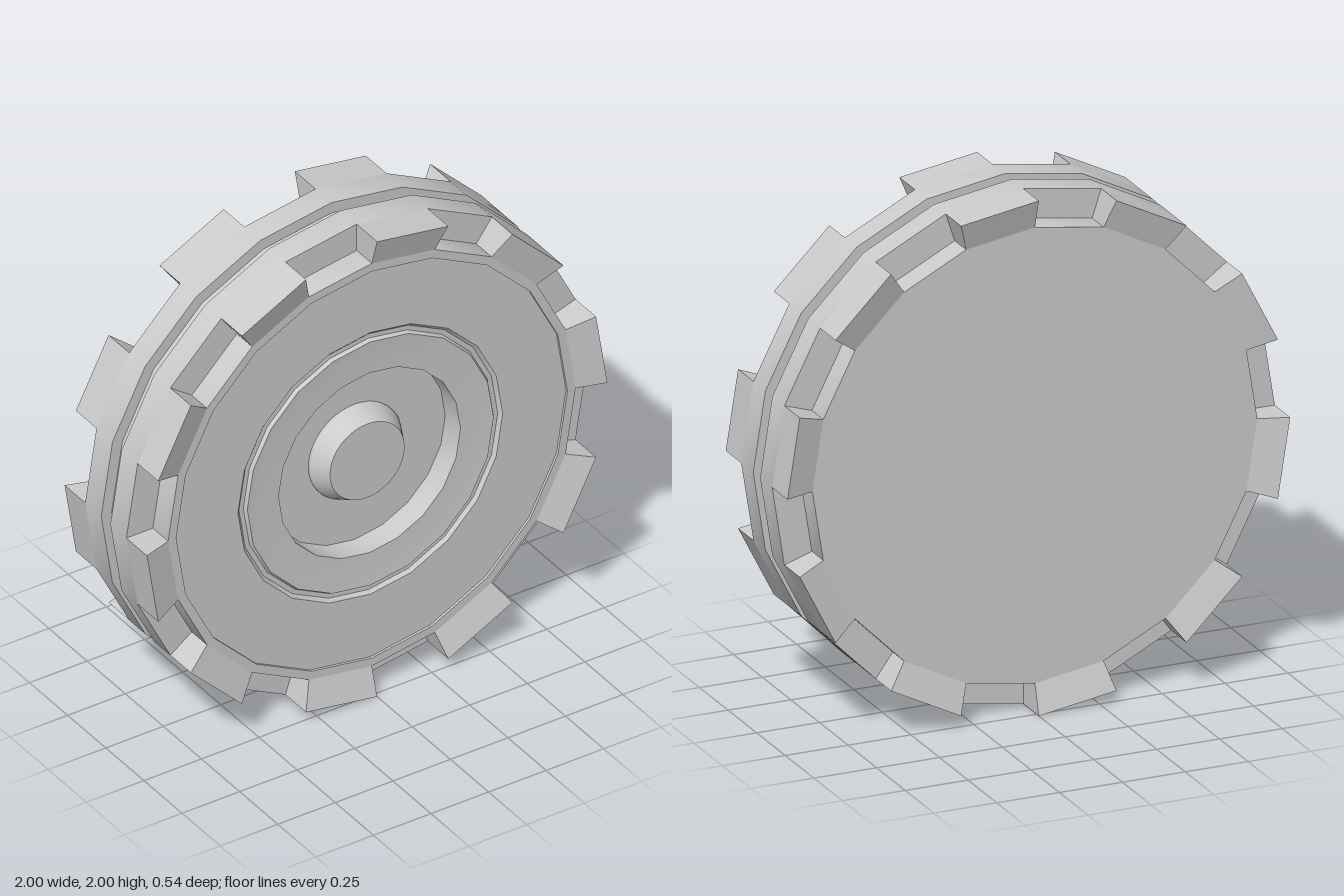
import * as THREE from 'three';
import { toCreasedNormals } from 'three/addons/utils/BufferGeometryUtils.js';

const SIDES = 20;
const STEP = (Math.PI * 2) / SIDES;
const CORE = 0.885;       // radius of the notch floors
const FACE = 0.235;       // depth of the flat side faces
const NOTCH = 0.135;      // where the notches begin

export function createModel() {
  const model = new THREE.Group();
  const grey = new THREE.MeshStandardMaterial({ color: 0xcccccc });

  // Turn a [radius, z] profile, listed from back to front, about the z axis
  function turned(name, profile, segments) {
    const points = profile.map(([r, z]) => new THREE.Vector2(r, z));
    const geometry = new THREE.LatheGeometry(points, segments).rotateX(Math.PI / 2);
    const mesh = new THREE.Mesh(toCreasedNormals(geometry, 0.35), grey);
    mesh.name = name;
    mesh.position.y = 1;
    model.add(mesh);
  }

  // Wheel body: back disc, grooved tread band, stepped face and hub dish
  turned('wheelBody', [
    [0, -FACE], [CORE, -FACE], [CORE, -NOTCH], [1, -NOTCH],
    [1, -0.03], [0.955, -0.03], [0.955, 0.03], [1, 0.03],
    [1, NOTCH], [CORE, NOTCH], [CORE, FACE], [0.85, FACE],
    [0.85, 0.225], [0.575, 0.225], [0.562, 0.212], [0.543, 0.212],
    [0.535, 0.226], [0.49, 0.222], [0.395, 0.22], [0.395, 0.12], [0, 0.12],
  ], SIDES);

  // Tapered axle knob in the dish
  turned('axleKnob', [[0.2, 0.115], [0.2, 0.13], [0.162, 0.205], [0, 0.205]], 40);

  // Tread block: a box bent to one side of the polygon, its outer face dipping inward
  function treadBlock(angle, side) {
    const geometry = new THREE.BoxGeometry(1, 1, 1);
    const p = geometry.attributes.position;
    for (let i = 0; i < p.count; i++) {
      const a = angle + STEP * (0.5 - p.getX(i));
      const top = p.getY(i) > 0;
      const r = top ? 1 : CORE;
      const outer = p.getZ(i) * side > 0;
      const z = outer ? (top ? 0.27 : FACE) : NOTCH;
      p.setXYZ(i, r * Math.cos(a), r * Math.sin(a), z * side);
    }
    const flat = geometry.toNonIndexed();
    flat.computeVertexNormals();
    return new THREE.Mesh(flat, grey);
  }

  // Blocks on every other side, on the front and back edges
  for (const side of [1, -1]) {
    const ring = new THREE.Group();
    ring.name = side > 0 ? 'frontTreadBlocks' : 'backTreadBlocks';
    ring.position.y = 1;
    for (let i = 0; i < SIDES; i += 2) {
      const block = treadBlock(i * STEP, side);
      block.name = 'treadBlock';
      ring.add(block);
    }
    model.add(ring);
  }

  return model;
}
